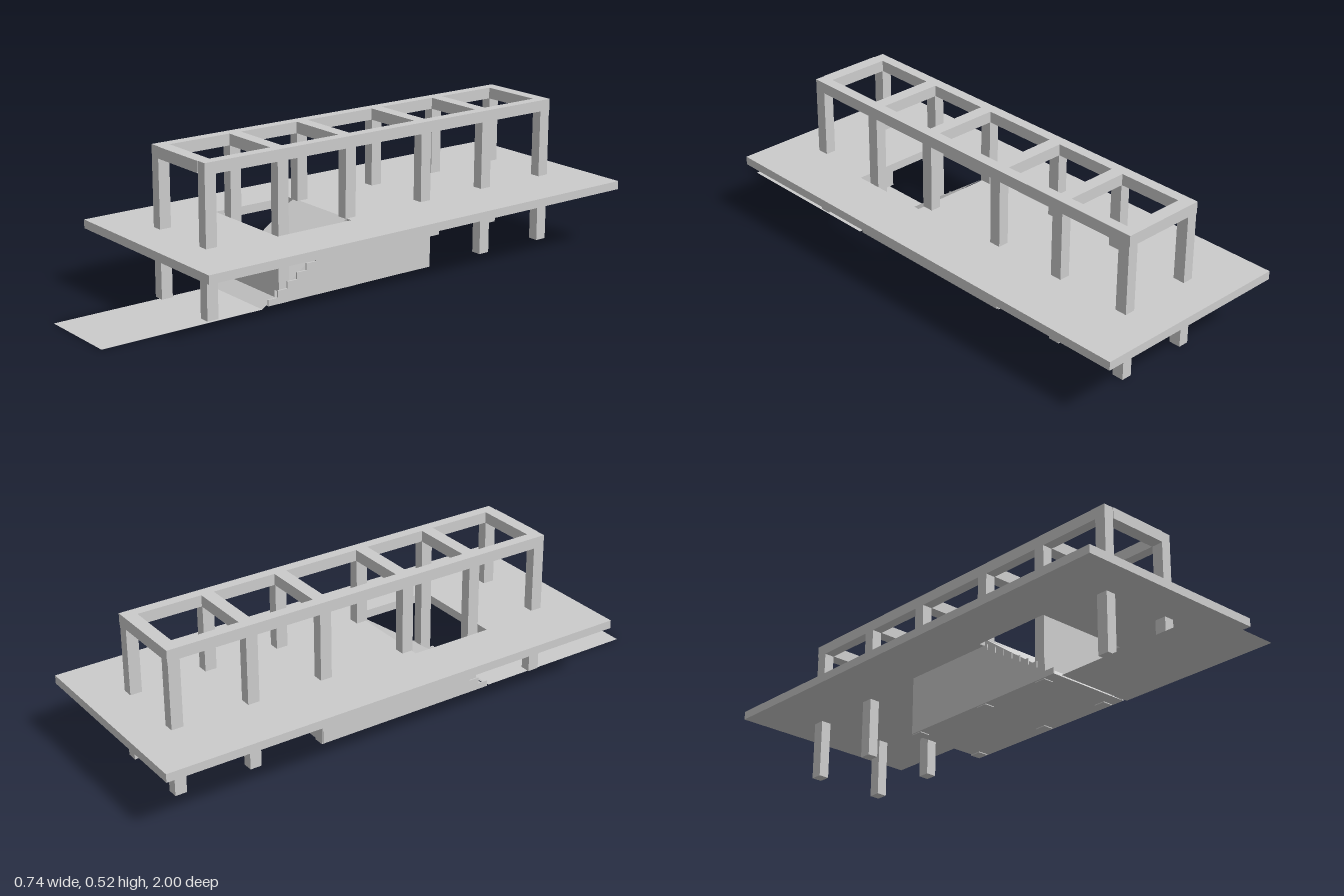
import * as THREE from 'three';

const mat = new THREE.MeshStandardMaterial({ color: 0xcccccc, flatShading: true });
const thin = new THREE.MeshStandardMaterial({ color: 0xcccccc, flatShading: true, side: THREE.DoubleSide });

export function createModel() {
  const model = new THREE.Group();

  const add = (name, geometry, material = mat) => {
    const mesh = new THREE.Mesh(geometry, material);
    mesh.name = name;
    model.add(mesh);
    return mesh;
  };

  // box from its minimum and maximum corners
  const box = (name, x0, x1, y0, y1, z0, z1) =>
    add(name, new THREE.BoxGeometry(x1 - x0, y1 - y0, z1 - z0))
      .position.set((x0 + x1) / 2, (y0 + y1) / 2, (z0 + z1) / 2);

  const shapeOf = pts => new THREE.Shape(pts.map(p => new THREE.Vector2(...p)));

  // side profile in (z, y), extruded across x
  const acrossX = (name, pts, x0, x1) => {
    const g = new THREE.ExtrudeGeometry(shapeOf(pts), { depth: x1 - x0, bevelEnabled: false });
    g.rotateY(-Math.PI / 2);
    add(name, g.translate(x1, 0, 0));
  };

  // deck with the stair opening, drawn in (x, -z) and laid flat
  const deck = shapeOf([[-0.37, -0.75], [0.37, -0.75], [0.37, 1], [-0.37, 1]]);
  deck.holes.push(new THREE.Path([[-0.18, -0.355], [-0.18, -0.055], [0.175, -0.055], [0.175, -0.355]]
    .map(p => new THREE.Vector2(...p))));
  const deckGeo = new THREE.ExtrudeGeometry(deck, { depth: 0.03, bevelEnabled: false });
  add('deck', deckGeo.rotateX(-Math.PI / 2).translate(0, 0.215, 0));

  // columns in pairs, with a cross beam over each pair
  const left = [0.112, 0.15], right = [-0.156, -0.118];
  for (const z of [0.592, 0.313, 0.038, -0.287, -0.563, -0.84]) {
    for (const [x0, x1] of [left, right]) box('column', x0, x1, 0.005, 0.484, z - 0.021, z + 0.021);
    box('crossBeam', right[1], left[0], 0.484, 0.524, z - 0.023, z + 0.023);
  }
  for (const [x0, x1] of [left, right]) box('longBeam', x0, x1, 0.484, 0.524, -0.863, 0.613);

  // stair block below the deck, closed at the top by the ramp
  acrossX('stairBlock', [[0.38, 0.008], [0.055, 0.24], [0.055, 0.215], [-0.305, 0.215], [-0.305, 0.008]], -0.156, 0.15);

  // stepped panels on both sides of the block
  const steps = [[-0.305, 0.008], [0.38, 0.008]];
  for (let k = 0; k < 8; k++) {
    const y = 0.03 + 0.0235 * k, z = 0.38 - 0.0387 * k;
    steps.push([z, y], [z - 0.0387, y]);
  }
  steps.push([0.07, 0.216], [-0.305, 0.216]);
  acrossX('steppedPanel', steps, 0.15, 0.156);
  acrossX('steppedPanel', steps, -0.16, -0.156);

  // ramp sheet inside the opening
  const rise = 0.247, run = 0.345;
  const ramp = add('ramp', new THREE.PlaneGeometry(0.295, Math.hypot(rise, run)));
  ramp.rotation.x = -Math.atan2(run, rise);
  ramp.position.set(0.0025, rise / 2, 0.4 - run / 2);

  // wall hanging from the front edge of the opening
  add('hangingWall', new THREE.PlaneGeometry(0.315, 0.18)).position.set(-0.0025, 0.125, 0.355);

  // thin walkway on the ground
  const walk = add('walkway', new THREE.PlaneGeometry(0.295, 0.6), thin);
  walk.rotation.x = -Math.PI / 2;
  walk.position.set(0.0025, 0, 0.7);

  return model;
}
